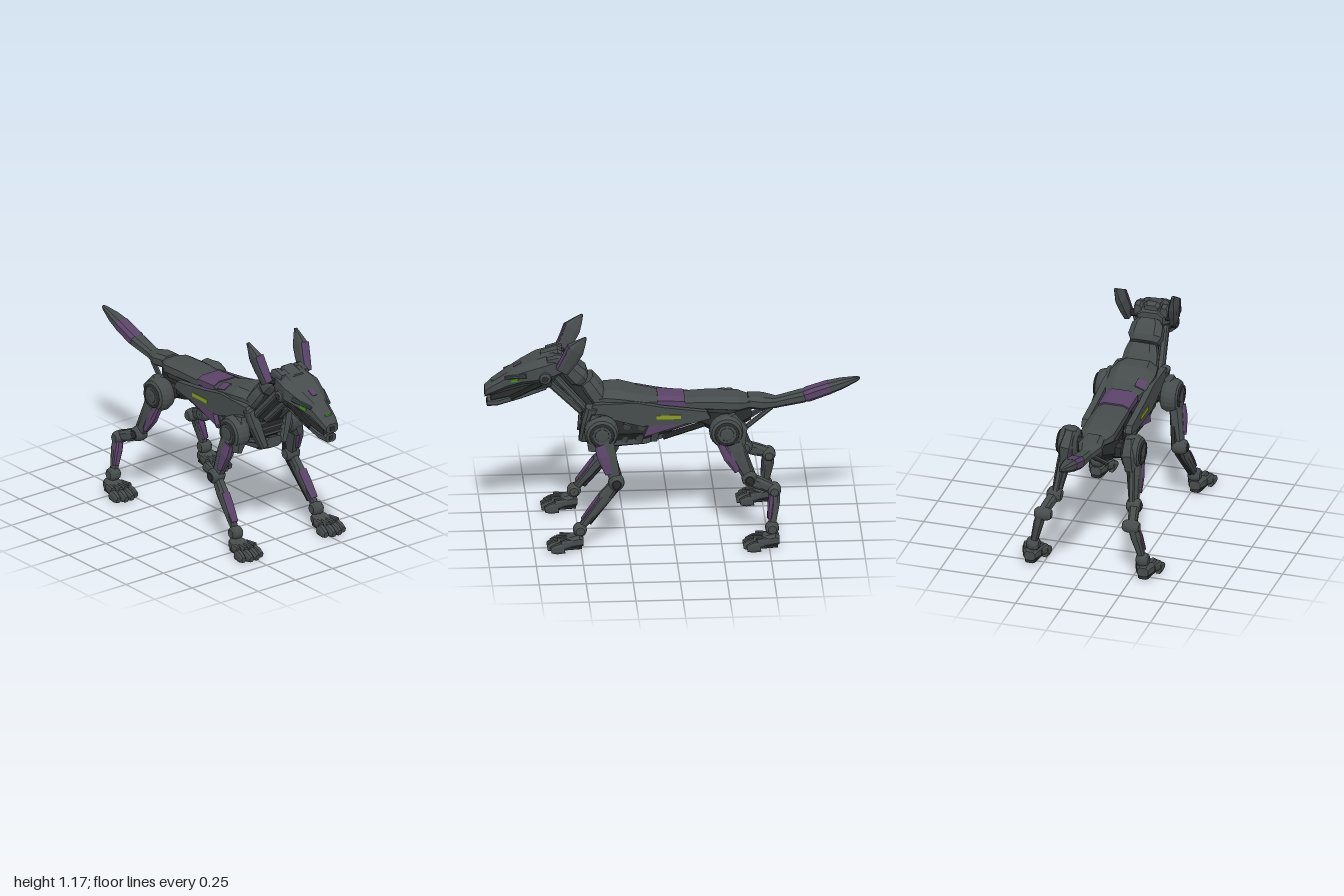
import * as THREE from 'three';

const mat = (name, color) => { const m = new THREE.MeshStandardMaterial({ color }); m.name = name; return m; };

export function createModel() {
  const armour = mat('armourGrey', 0x464c4c);
  const dark = mat('frameDark', 0x2b2e2e);
  const purple = mat('purplePanel', 0x5a4468);
  const green = mat('eyeGreen', 0x3c9a1a);
  const lime = mat('limeStripe', 0x8a9e1c);
  const model = new THREE.Group();
  model.name = 'robotDog';

  // ---------- helpers ----------
  const V = (x, y, z) => new THREE.Vector3(x, y, z);
  const add = (parent, name, geo, m, x = 0, y = 0, z = 0) => {
    const mesh = new THREE.Mesh(geo, m);
    mesh.name = name;
    mesh.position.set(x, y, z);
    parent.add(mesh);
    return mesh;
  };
  const group = (name, parent = model) => { const g = new THREE.Group(); g.name = name; parent.add(g); return g; };
  const OCT = [[1, -0.5], [1, 0.5], [0.6, 1], [-0.6, 1], [-1, 0.5], [-1, -0.5], [-0.6, -1], [0.6, -1]];

  // Faceted skin through chamfered sections [z, halfWidth, halfHeight, yOffset], z ascending
  function loft(secs) {
    const pos = [], idx = [], n = OCT.length, last = (secs.length - 1) * n;
    for (const [z, w, h, o = 0] of secs) for (const [x, y] of OCT) pos.push(x * w, y * h + o, z);
    for (let i = 0; i < secs.length - 1; i++) for (let j = 0; j < n; j++) {
      const a = i * n + j, b = i * n + (j + 1) % n;
      idx.push(a, b, b + n, a, b + n, a + n);
    }
    for (let j = 1; j < n - 1; j++) idx.push(0, j + 1, j, last, last + j, last + j + 1);
    const g = new THREE.BufferGeometry();
    g.setAttribute('position', new THREE.Float32BufferAttribute(pos, 3));
    g.setIndex(idx);
    const flat = g.toNonIndexed();
    flat.computeVertexNormals();
    return flat;
  }
  // Body shell from [z, bottom, top, halfWidth]
  const shell = (parent, name, m, secs) =>
    add(parent, name, loft(secs.map(([z, b, t, w]) => [z, w, (t - b) / 2, (t + b) / 2])), m);
  // Loft from point a to point b; section positions are fractions of the length
  function limb(parent, name, m, a, b, secs) {
    const d = b.clone().sub(a), len = d.length();
    const mesh = new THREE.Mesh(loft(secs.map(([t, ...r]) => [t * len, ...r])), m);
    mesh.name = name;
    mesh.position.copy(a);
    mesh.up.set(0, 0, 1);
    if (Math.abs(d.z) > 1.5 * Math.abs(d.y)) mesh.up.set(0, 1, 0);
    mesh.lookAt(b); // aimed before parenting, so a and b stay in the parent's frame
    parent.add(mesh);
  }
  const rod = (parent, name, m, a, b, r) => limb(parent, name, m, a, b, [[0, r, r], [1, r, r]]);
  // Chamfered round joint whose axle runs along x
  function joint(parent, name, m, p, r, w) {
    const prof = [[0.001, -w], [r * 0.6, -w], [r * 0.88, -w * 0.75], [r, -w * 0.3], [r, w * 0.3], [r * 0.88, w * 0.75], [r * 0.6, w], [0.001, w]];
    const g = new THREE.LatheGeometry(prof.map(q => new THREE.Vector2(...q)), 20).toNonIndexed();
    g.computeVertexNormals();
    g.rotateZ(Math.PI / 2);
    add(parent, name, g, m, p.x, p.y, p.z);
  }
  // Flat plate from (z, y) outline, thickness along x
  function plate(parent, name, m, pts, x, t) {
    const g = new THREE.ExtrudeGeometry(new THREE.Shape(pts.map(q => new THREE.Vector2(...q))), { depth: t, bevelEnabled: false });
    g.translate(0, 0, -t / 2).rotateY(-Math.PI / 2);
    add(parent, name, g, m, x);
  }

  // ---------- torso ----------
  const torso = group('torso');
  shell(torso, 'chestFrame', dark, [[0.0, 0.57, 0.74, 0.085], [0.15, 0.53, 0.76, 0.11], [0.3, 0.52, 0.79, 0.115], [0.42, 0.55, 0.77, 0.1], [0.475, 0.6, 0.72, 0.07]]);
  shell(torso, 'shoulderShell', armour, [[0.078, 0.71, 0.775, 0.09], [0.15, 0.7, 0.79, 0.115], [0.28, 0.69, 0.825, 0.125], [0.36, 0.7, 0.825, 0.11], [0.42, 0.72, 0.79, 0.09]]);
  shell(torso, 'saddlePanel', purple, [[-0.065, 0.71, 0.77, 0.086], [0.08, 0.71, 0.782, 0.088]]);
  shell(torso, 'rumpShell', armour, [[-0.42, 0.69, 0.74, 0.055], [-0.35, 0.68, 0.76, 0.09], [-0.2, 0.69, 0.768, 0.09], [-0.06, 0.7, 0.762, 0.085]]);
  shell(torso, 'pelvisFrame', dark, [[-0.42, 0.62, 0.72, 0.05], [-0.3, 0.56, 0.73, 0.1], [-0.2, 0.58, 0.73, 0.095], [-0.1, 0.63, 0.73, 0.07], [0.02, 0.61, 0.74, 0.08]]);
  shell(torso, 'chestKeel', armour, [[0.02, 0.535, 0.58, 0.055], [0.14, 0.5, 0.56, 0.075], [0.3, 0.49, 0.56, 0.08], [0.42, 0.5, 0.57, 0.07], [0.49, 0.53, 0.59, 0.05]]);
  for (const y of [0.61, 0.645, 0.68]) add(torso, 'chestBar', new THREE.BoxGeometry(0.11 + (y - 0.6), 0.014, 0.03), armour, 0, y, 0.468);
  for (const s of [1, -1]) {
    const P = (x, y, z) => V(s * x, y, z);
    plate(torso, 'flankPanel', armour, [[0.46, 0.72], [0.42, 0.77], [0.2, 0.775], [0.05, 0.745], [-0.18, 0.715], [-0.2, 0.675], [-0.1, 0.65], [0.17, 0.64], [0.32, 0.68]], s * 0.123, 0.034);
    plate(torso, 'flankPurplePanel', purple, [[0.16, 0.575], [0.13, 0.645], [-0.09, 0.655]], s * 0.122, 0.03);
    add(torso, 'flankStripe', new THREE.BoxGeometry(0.006, 0.022, 0.13), lime, s * 0.141, 0.69, 0.025);
    limb(torso, 'chestStrap', armour, P(0.13, 0.755, 0.435), P(0.06, 0.54, 0.475), [[0, 0.024, 0.03], [0.4, 0.034, 0.035], [1, 0.022, 0.025]]);
    rod(torso, 'chestRod', armour, P(0.05, 0.56, 0.45), P(0.15, 0.59, 0.42), 0.014);
    rod(torso, 'bellyRod', dark, P(0.05, 0.54, 0.05), P(0.07, 0.62, -0.17), 0.014);
    rod(torso, 'waistRod', armour, P(0.09, 0.6, 0.04), P(0.1, 0.67, -0.16), 0.014);
    rod(torso, 'pelvisRod', armour, P(0.06, 0.58, -0.38), P(0.03, 0.69, -0.53), 0.012);
    for (const z of [0.08, 0.16, 0.24]) // ribs
      limb(torso, 'rib', armour, P(0.113, 0.65, z), P(0.07, 0.53, z + 0.02), [[0, 0.014, 0.022], [1, 0.012, 0.018]]);
  }
  // Shoulder patch, on one side only
  const patch = add(torso, 'shoulderPatch', new THREE.BoxGeometry(0.055, 0.008, 0.065), purple, -0.08, 0.787, 0.16);
  patch.rotation.set(-0.22, 0, 0.42);

  // ---------- tail ----------
  const tail = group('tail');
  const tailSegment = (name, m, y0, z0, y1, z1, secs) => limb(tail, name, m, V(0, y0, z0), V(0, y1, z1), secs);
  tailSegment('tailRoot', armour, 0.72, -0.4, 0.705, -0.56, [[0, 0.055, 0.035], [0.5, 0.066, 0.035], [1, 0.035, 0.026]]);
  tailSegment('tailBase', armour, 0.703, -0.54, 0.742, -0.715, [[0, 0.034, 0.026], [0.9, 0.043, 0.031], [1, 0.036, 0.026]]);
  tailSegment('tailBand', purple, 0.738, -0.7, 0.785, -0.84, [[0, 0.038, 0.029], [0.15, 0.044, 0.034], [1, 0.042, 0.032]]);
  tailSegment('tailTip', armour, 0.783, -0.835, 0.833, -1, [[0, 0.041, 0.031], [0.4, 0.033, 0.026], [0.9, 0.014, 0.012], [1, 0.006, 0.006]]);

  // ---------- neck ----------
  const neck = group('neck');
  limb(neck, 'neckCore', dark, V(0, 0.72, 0.42), V(0, 0.93, 0.6), [[0, 0.08, 0.075], [0.5, 0.06, 0.065], [1, 0.055, 0.05]]);
  limb(neck, 'neckLowerShell', armour, V(0, 0.77, 0.39), V(0, 0.87, 0.46), [[0, 0.1, 0.05], [0.6, 0.09, 0.05], [1, 0.075, 0.045]]);
  limb(neck, 'neckUpperShell', armour, V(0, 0.87, 0.475), V(0, 0.96, 0.565), [[0, 0.075, 0.04], [0.25, 0.092, 0.055], [0.75, 0.085, 0.05], [1, 0.06, 0.04]]);
  for (const s of [1, -1]) {
    rod(neck, 'neckRod', armour, V(s * 0.1, 0.72, 0.45), V(s * 0.075, 0.91, 0.62), 0.018);
    rod(neck, 'throatRod', armour, V(s * 0.045, 0.7, 0.485), V(s * 0.04, 0.86, 0.65), 0.018);
  }

  // ---------- head ----------
  const head = group('head');
  shell(head, 'skull', armour, [[0.57, 0.92, 1.0, 0.07], [0.63, 0.89, 1.035, 0.1], [0.72, 0.875, 1.01, 0.112], [0.8, 0.865, 0.97, 0.092], [0.88, 0.835, 0.925, 0.062], [0.96, 0.8, 0.87, 0.05], [0.997, 0.785, 0.835, 0.038]]);
  shell(head, 'crownPlate', armour, [[0.585, 0.98, 1.035, 0.038], [0.61, 0.98, 1.05, 0.045], [0.7, 0.98, 1.025, 0.04]]);
  shell(head, 'mouthInterior', dark, [[0.64, 0.84, 0.9, 0.065], [0.8, 0.79, 0.87, 0.05], [0.965, 0.755, 0.81, 0.034]]);
  shell(head, 'lowerJaw', armour, [[0.67, 0.82, 0.865, 0.055], [0.8, 0.772, 0.815, 0.05], [0.93, 0.732, 0.775, 0.042], [0.985, 0.728, 0.775, 0.034]]);
  add(head, 'chinInset', new THREE.BoxGeometry(0.026, 0.024, 0.006), dark, 0, 0.751, 0.984);
  add(head, 'noseInset', new THREE.BoxGeometry(0.03, 0.026, 0.006), dark, 0, 0.808, 0.996);
  add(head, 'browSensor', new THREE.BoxGeometry(0.036, 0.012, 0.008), green, 0, 0.872, 0.957);
  const mark = add(head, 'foreheadPatch', new THREE.BoxGeometry(0.03, 0.006, 0.045), purple, 0, 0.958, 0.823);
  mark.rotation.x = 0.51;
  for (const s of [1, -1]) {
    const P = (x, y, z) => V(s * x, y, z);
    const eye = add(head, 'eye', new THREE.BoxGeometry(0.008, 0.016, 0.04), green, s * 0.076, 0.895, 0.842);
    eye.rotation.set(0.3, -s * 0.34, 0);
    limb(head, 'brow', armour, P(0.098, 0.93, 0.78), P(0.06, 0.905, 0.89), [[0, 0.012, 0.012], [1, 0.008, 0.008]]);
    joint(head, 'jawHinge', armour, P(0.1, 0.915, 0.68), 0.034, 0.022);
    joint(head, 'jawHingeHub', dark, P(0.116, 0.915, 0.68), 0.018, 0.01);
    rod(head, 'jawLink', dark, P(0.065, 0.87, 0.7), P(0.045, 0.785, 0.86), 0.012);
    shell(head, 'crownKnob', armour, [[0.58, 0.98, 1.03, 0.02], [0.61, 0.98, 1.042, 0.023], [0.67, 0.98, 1.025, 0.02]]).position.x = s * 0.073;
    // Ears, purple on the leading face only
    const a = P(0.128, 0.965, 0.59), b = P(0.16, 1.167, 0.468);
    limb(head, 'ear', armour, a, b, [[0, 0.02, 0.035], [0.35, 0.024, 0.042, 0.003], [0.63, 0.025, 0.046, 0.01], [0.85, 0.014, 0.024, 0.004], [1, 0.008, 0.006]]);
    limb(head, 'earFront', purple, a, b, [[0, 0.021, 0.006, 0.032], [0.35, 0.025, 0.006, 0.042], [0.63, 0.025, 0.006, 0.053]]);
    rod(head, 'earMount', dark, P(0.075, 0.97, 0.61), P(0.128, 0.985, 0.575), 0.018);
  }

  // ---------- feet ----------
  function foot(parent, s, x, z) {
    const f = group('foot', parent);
    f.position.set(s * x, 0, z);
    shell(f, 'footBody', armour, [[-0.022, 0.025, 0.075, 0.03], [0.0, 0.022, 0.09, 0.042], [0.05, 0.022, 0.08, 0.054], [0.08, 0.02, 0.06, 0.052]]);
    shell(f, 'footPad', dark, [[-0.015, 0.006, 0.03, 0.028], [0.1, 0.004, 0.03, 0.045]]);
    for (let i = 0; i < 4; i++) {
      const k = i - 1.5, reach = Math.abs(k) > 1 ? -0.018 : 0;
      limb(f, 'toeKnuckle', armour, V(k * 0.028, 0.055, 0.035), V(k * 0.036, 0.046, 0.115 + reach), [[0, 0.013, 0.018], [1, 0.016, 0.027]]);
      limb(f, 'toe', armour, V(k * 0.036, 0.033, 0.1 + reach), V(k * 0.039, 0.02, 0.17 + reach), [[0, 0.017, 0.03], [0.6, 0.017, 0.026], [1, 0.013, 0.015]]);
    }
  }

  for (const s of [1, -1]) {
    const P = (x, y, z) => V(s * x, y, z);
    // Large shoulder and hip joint with ring and hub
    const bigJoint = (g, name, x, y, z, r) => {
      joint(g, name, armour, P(x, y, z), r, 0.055);
      const ring = add(g, name + 'Ring', new THREE.TorusGeometry(r * 0.62, 0.009, 6, 20), dark, s * (x + 0.05), y, z);
      ring.rotation.y = Math.PI / 2;
      joint(g, name + 'Hub', armour, P(x + 0.046, y, z), r * 0.45, 0.014);
      rod(g, name + 'Axle', dark, P(0.07, y, z + 0.001), P(x, y + 0.012, z), 0.045);
    };

    // ---------- front leg ----------
    const fl = group(s > 0 ? 'frontLegLeft' : 'frontLegRight');
    bigJoint(fl, 'shoulder', 0.182, 0.63, 0.385, 0.092);
    limb(fl, 'shoulderCowl', armour, P(0.162, 0.72, 0.4), P(0.205, 0.53, 0.42), [[0, 0.024, 0.035], [0.35, 0.042, 0.058], [0.7, 0.036, 0.05], [1, 0.022, 0.035]]);
    limb(fl, 'upperArm', armour, P(0.205, 0.61, 0.38), P(0.245, 0.38, 0.315), [[0, 0.03, 0.05], [0.4, 0.032, 0.045], [1, 0.024, 0.028]]);
    limb(fl, 'upperArmPanel', purple, P(0.232, 0.575, 0.4), P(0.257, 0.42, 0.352), [[0, 0.018, 0.025], [0.4, 0.023, 0.032], [1, 0.014, 0.018]]);
    rod(fl, 'upperArmPiston', dark, P(0.2, 0.56, 0.34), P(0.225, 0.38, 0.29), 0.015);
    joint(fl, 'elbow', armour, P(0.25, 0.37, 0.31), 0.043, 0.042);
    joint(fl, 'elbowHub', dark, P(0.288, 0.37, 0.31), 0.024, 0.01);
    limb(fl, 'forearm', armour, P(0.25, 0.365, 0.315), P(0.268, 0.12, 0.5), [[0, 0.024, 0.026], [0.3, 0.026, 0.034], [0.75, 0.022, 0.024], [1, 0.018, 0.018]]);
    limb(fl, 'forearmPanel', purple, P(0.257, 0.295, 0.395), P(0.266, 0.165, 0.493), [[0, 0.025, 0.007, 0.006], [0.5, 0.025, 0.007, 0.004], [1, 0.02, 0.006, 0.002]]);
    rod(fl, 'forearmPiston', dark, P(0.235, 0.33, 0.3), P(0.26, 0.14, 0.455), 0.011);
    joint(fl, 'wrist', armour, P(0.27, 0.11, 0.505), 0.037, 0.034);
    foot(fl, s, 0.276, 0.51);

    // ---------- hind leg ----------
    const hl = group(s > 0 ? 'hindLegLeft' : 'hindLegRight');
    bigJoint(hl, 'hip', 0.178, 0.62, -0.28, 0.092);
    limb(hl, 'hipCowl', armour, P(0.165, 0.7, -0.28), P(0.185, 0.53, -0.33), [[0, 0.03, 0.05], [0.5, 0.042, 0.09], [1, 0.03, 0.05]]);
    limb(hl, 'thigh', armour, P(0.185, 0.6, -0.285), P(0.215, 0.37, -0.39), [[0, 0.034, 0.05], [0.4, 0.034, 0.044], [1, 0.024, 0.026]]);
    limb(hl, 'thighPanel', purple, P(0.208, 0.565, -0.248), P(0.226, 0.405, -0.335), [[0, 0.02, 0.022], [0.5, 0.022, 0.03], [1, 0.015, 0.015]]);
    rod(hl, 'thighPiston', armour, P(0.195, 0.57, -0.35), P(0.212, 0.39, -0.415), 0.015);
    joint(hl, 'knee', armour, P(0.22, 0.362, -0.4), 0.042, 0.038);
    joint(hl, 'kneeHub', dark, P(0.254, 0.362, -0.4), 0.023, 0.01);
    limb(hl, 'shin', armour, P(0.22, 0.362, -0.39), P(0.25, 0.31, -0.53), [[0, 0.028, 0.03], [0.5, 0.026, 0.032], [1, 0.024, 0.026]]);
    joint(hl, 'hock', armour, P(0.245, 0.305, -0.53), 0.036, 0.046);
    limb(hl, 'hindCannon', armour, P(0.255, 0.31, -0.535), P(0.302, 0.12, -0.515), [[0, 0.024, 0.026], [0.35, 0.025, 0.03], [1, 0.018, 0.018]]);
    limb(hl, 'hindCannonPanel', purple, P(0.265, 0.285, -0.515), P(0.3, 0.16, -0.502), [[0, 0.022, 0.014], [0.35, 0.025, 0.018], [1, 0.018, 0.012]]);
    joint(hl, 'ankle', armour, P(0.305, 0.11, -0.515), 0.037, 0.034);
    foot(hl, s, 0.315, -0.53);
  }
  return model;
}
